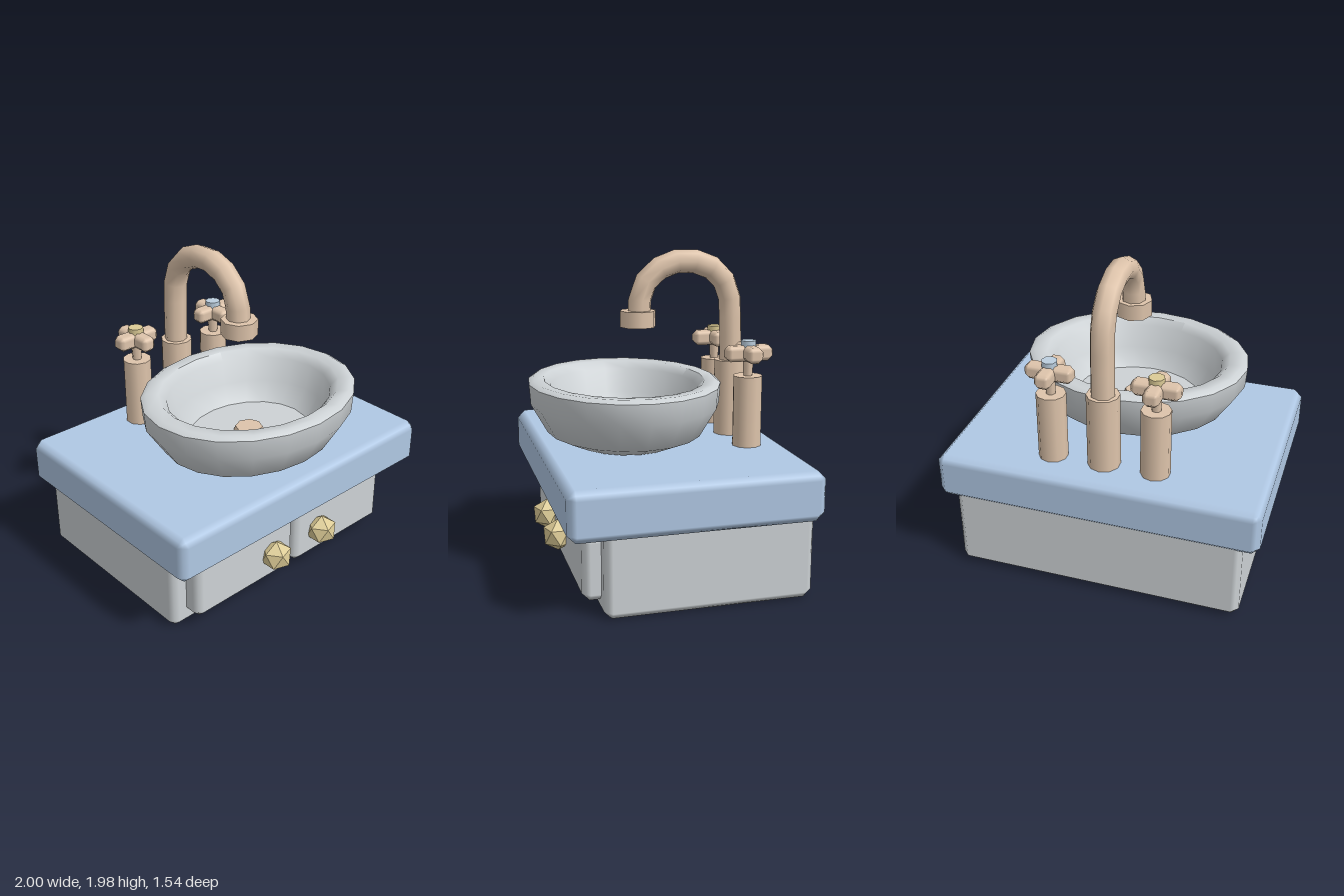
import * as THREE from 'three';
import { toCreasedNormals } from 'three/addons/utils/BufferGeometryUtils.js';
import { RoundedBoxGeometry } from 'three/addons/geometries/RoundedBoxGeometry.js';

const flat = (name, color, options = {}) => new THREE.MeshStandardMaterial({ name, color, ...options });

// Box with straight chamfers and softly blended normals
function chamferBox(w, h, d, r) {
  const g = new RoundedBoxGeometry(w, h, d, 1, r);
  const p = g.attributes.position, n = g.attributes.normal;
  for (let i = 0; i < p.count; i++) {
    const x = n.getX(i), y = n.getY(i), z = n.getZ(i);
    const k = r * (1 / (Math.abs(x) + Math.abs(y) + Math.abs(z)) - 1);
    p.setXYZ(i, p.getX(i) + x * k, p.getY(i) + y * k, p.getZ(i) + z * k);
  }
  return g;
}

export function createModel() {
  const grey = flat('light grey', 0xcdd2d5);
  const blue = flat('counter blue', 0xb0c8e4);
  const tan = flat('tan metal', 0xdec4ab);
  const gold = flat('pale gold', 0xdccb96);
  const cold = flat('cold blue', 0xbccfdf);
  const knobGold = gold;

  const model = new THREE.Group();
  model.name = 'washbasin';

  function add(name, geometry, material, x = 0, y = 0, z = 0, parent = model) {
    const mesh = new THREE.Mesh(geometry, material);
    mesh.name = name;
    mesh.position.set(x, y, z);
    parent.add(mesh);
    return mesh;
  }
  // Box and cylinder given by their lower and upper limits
  const box = (name, mat, [x0, x1], [y0, y1], [z0, z1], r, parent) =>
    add(name, chamferBox(x1 - x0, y1 - y0, z1 - z0, r), mat,
      (x0 + x1) / 2, (y0 + y1) / 2, (z0 + z1) / 2, parent);
  const cyl = (name, mat, rTop, rBottom, [y0, y1], sides, x, z, parent) =>
    add(name, new THREE.CylinderGeometry(rTop, rBottom, y1 - y0, sides), mat, x, (y0 + y1) / 2, z, parent);

  // Cabinet and countertop
  box('cabinet', grey, [-0.9, 0.9], [0, 0.56], [-0.745, 0.5], 0.045);
  box('countertop', blue, [-1, 1], [0.5, 0.8], [-0.77, 0.72], 0.05);

  // Drawers and faceted knobs
  for (const s of [-1, 1]) {
    box('drawer', grey, s < 0 ? [-0.8, 0] : [0, 0.8], [0.08, 0.475], [0.42, 0.605], 0.045);
    const knob = new THREE.IcosahedronGeometry(0.1, 0).rotateZ(Math.atan(2 / (1 + Math.sqrt(5))));
    add('drawerKnob', knob, knobGold, s * 0.2, 0.28, 0.64);
  }

  // Oval bowl: outside, rim, inside and floor
  const profile = [
    [0, 0.79], [0.4, 0.805], [0.575, 0.875], [0.695, 1.055], [0.705, 1.18],
    [0.67, 1.2], [0.59, 1.195], [0.54, 1.15], [0.5, 1.0], [0.405, 0.885], [0, 0.885],
  ].map(([x, y]) => new THREE.Vector2(x, y));
  const bowl = new THREE.LatheGeometry(profile, 20).scale(1, 1, 0.837);
  add('bowl', toCreasedNormals(bowl, 0.75), grey, 0, 0, 0.175);
  cyl('drain', tan, 0.085, 0.1, [0.87, 0.915], 8, 0, 0.175);

  // Tap: base, arched spout and nozzle
  cyl('tapBase', tan, 0.1, 0.1, [0.79, 1.28], 10, 0, -0.52);
  const path = new THREE.CatmullRomCurve3([
    [1.2, -0.525], [1.5, -0.52], [1.72, -0.5], [1.845, -0.415], [1.91, -0.22],
    [1.855, -0.04], [1.74, 0.055], [1.56, 0.075],
  ].map(([y, z]) => new THREE.Vector3(0, y, z)));
  add('spout', new THREE.TubeGeometry(path, 12, 0.073, 8), tan);
  cyl('nozzle', tan, 0.113, 0.113, [1.51, 1.61], 8, 0, 0.082);

  // Hot and cold handles
  for (const s of [-1, 1]) {
    const handle = new THREE.Group();
    handle.name = s < 0 ? 'hotHandle' : 'coldHandle';
    handle.position.set(s * 0.32, 0, -0.525);
    model.add(handle);
    cyl('handlePost', tan, 0.09, 0.09, [0.79, 1.235], 10, 0, 0, handle);
    cyl('handleStem', tan, 0.035, 0.028, [1.22, 1.35], 8, 0, 0, handle);
    box('crossBar', tan, [-0.147, 0.147], [1.325, 1.422], [-0.05, 0.05], 0.028, handle);
    box('crossBar', tan, [-0.05, 0.05], [1.324, 1.421], [-0.147, 0.147], 0.028, handle);
    cyl('handleCap', s < 0 ? gold : cold, 0.048, 0.048, [1.4, 1.45], 8, 0, 0, handle);
  }
  return model;
}
